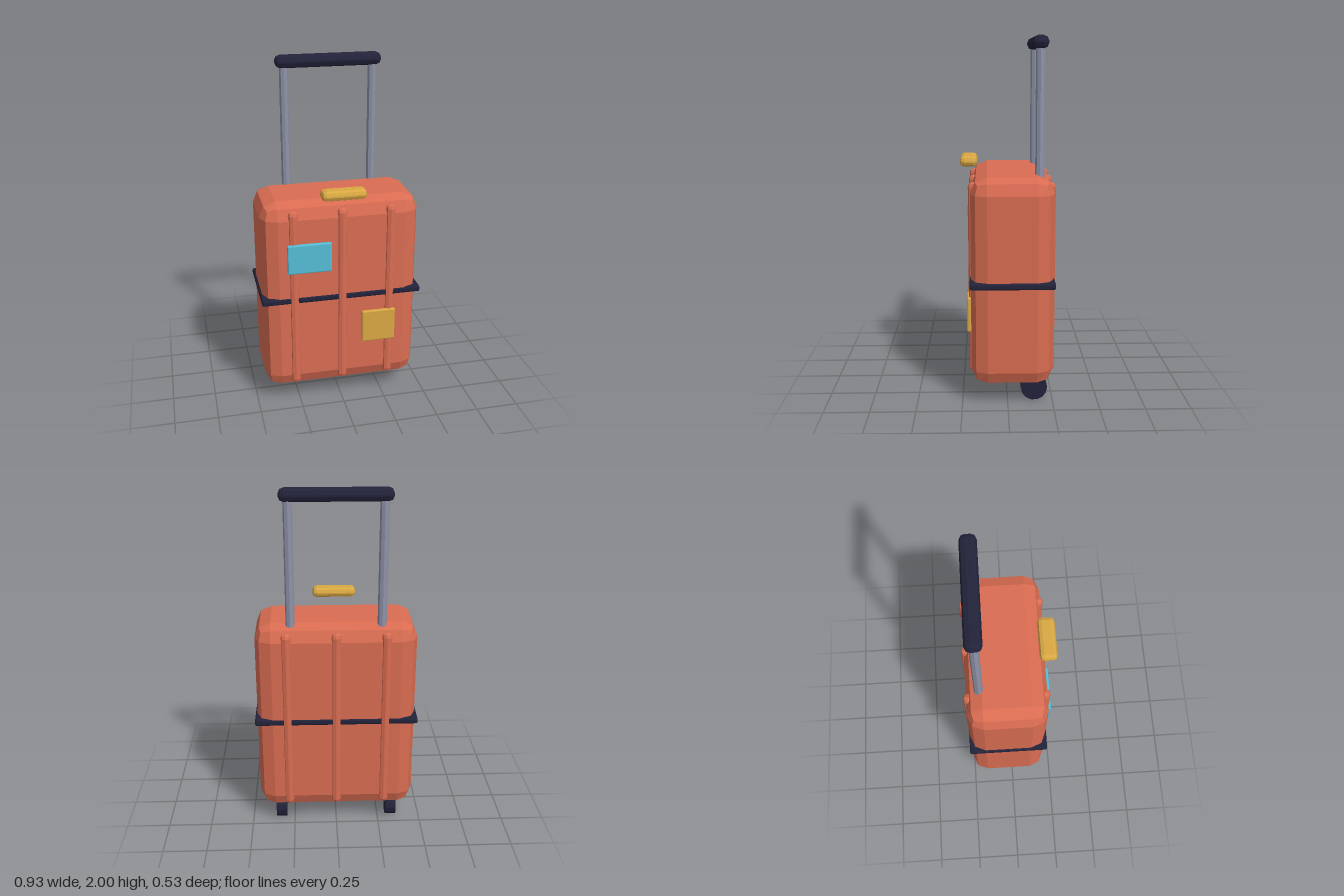
import * as THREE from 'three';
import { RoundedBoxGeometry } from 'three/addons/geometries/RoundedBoxGeometry.js';

function material(name, color) {
  const m = new THREE.MeshStandardMaterial({ color, flatShading: true });
  m.name = name;
  return m;
}

export function createModel() {
  const coral = material('coral', 0xd96c52);
  const navy = material('navy', 0x22233a);
  const gold = material('gold', 0xd9a843);
  const blue = material('blue', 0x56bdd6);
  const metal = material('metal', 0x8f93a8);

  const model = new THREE.Group();
  model.name = 'suitcase';

  function add(name, geometry, mat, x, y, z) {
    const mesh = new THREE.Mesh(geometry, mat);
    mesh.name = name;
    mesh.position.set(x, y, z);
    model.add(mesh);
    return mesh;
  }
  // Box with two-step bevelled edges
  const bevelBox = (w, h, d, r) => new RoundedBoxGeometry(w, h, d, 1, r);

  const midZ = -0.026;

  // Shell and the strap around it
  add('shell', bevelBox(0.904, 1.155, 0.45, 0.09), coral, 0, 0.683, midZ);
  add('strap', bevelBox(0.926, 0.036, 0.462, 0.01), navy, 0, 0.685, midZ);

  // Raised ribs on front and back
  const rib = bevelBox(0.056, 1.08, 0.056, 0.025);
  for (const x of [-0.277, 0, 0.277]) {
    add('frontRib', rib, coral, x, 0.683, 0.185);
    add('backRib', rib, coral, x, 0.683, -0.237);
  }

  // Stickers
  add('blueSticker', bevelBox(0.25, 0.174, 0.024, 0.007), blue, -0.19, 0.947, 0.211);
  add('goldSticker', bevelBox(0.198, 0.198, 0.024, 0.007), gold, 0.212, 0.482, 0.211);

  // Carry handle
  add('carryHandle', bevelBox(0.25, 0.056, 0.097, 0.024), gold, 0, 1.312, 0.212);

  // Telescopic handle and wheels
  const pole = new THREE.CylinderGeometry(0.025, 0.025, 0.8, 8);
  const wheel = new THREE.CylinderGeometry(0.074, 0.074, 0.062, 14).rotateZ(Math.PI / 2);
  for (const side of [-1, 1]) {
    add('handlePole', pole, metal, side * 0.252, 1.56, -0.178);
    add('wheel', wheel, navy, side * 0.328, 0.074, -0.148);
  }
  add('handleGrip', bevelBox(0.6, 0.07, 0.088, 0.03), navy, 0, 1.965, -0.178);

  return model;
}
